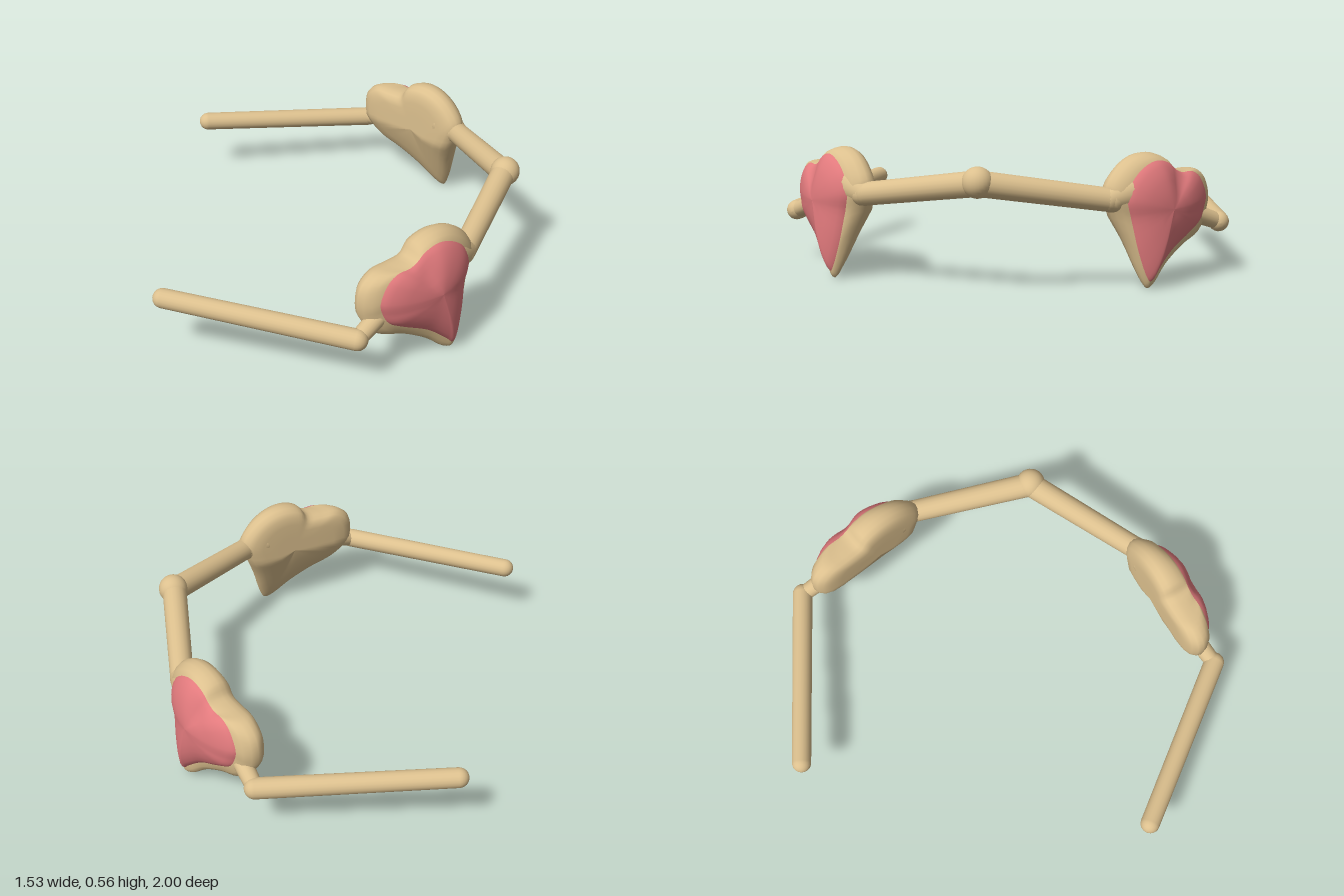
import * as THREE from 'three';

const frameMat = new THREE.MeshStandardMaterial({ color: 0xdcc08e });
frameMat.name = 'sandFrame';
const lensMat = new THREE.MeshStandardMaterial({ color: 0xe27a7d });
lensMat.name = 'pinkLens';

// Paired heart outlines in the lens plane: rim (u, y) and lens edge (u, y)
const HEART = [
  [-.525, .34, -.46, .36], [-.51, .42, -.42, .44], [-.449, .468, -.37, .468], [-.356, .475, -.31, .468],
  [-.28, .485, -.27, .485], [-.24, .535, -.235, .512], [-.158, .56, -.164, .53], [-.066, .548, -.09, .51],
  [.013, .5, -.02, .455], [.07, .42, .008, .38], [.045, .33, -.012, .3], [-.01, .2, -.04, .16],
  [-.06, .05, -.078, .05], [-.09, .002, -.095, .032], [-.13, .015, -.125, .06], [-.21, .08, -.22, .14],
  [-.325, .145, -.35, .21], [-.44, .19, -.42, .255], [-.505, .26, -.45, .31],
];
const N = 76;
const CENTRE = new THREE.Vector3(-.19, .33, 0);
const U = new THREE.Vector3(.758, 0, -.653);
const OUT = new THREE.Vector3(.653, 0, .758);

function outline(col) {
  const pts = HEART.map(p => new THREE.Vector3(p[col], p[col + 1], 0));
  const curve = new THREE.CatmullRomCurve3(pts, true, 'centripetal');
  return Array.from({ length: N }, (_, i) => curve.getPoint(i / N));
}
const rim = outline(0);
const edge = outline(2);

// Depths along the outward axis; the heart leans forward towards its tip
const lean = y => Math.max(0, (.3 - y) / .3);
const backDepth = y => .658 + .125 * lean(y);
const midDepth = y => .72 + .085 * lean(y);
const edgeDepth = y => .787 + .04 * lean(y);

// Skin a list of rings; each ring is a function (i) => Vector3(u, y, depth)
function skin(rings) {
  const pos = [], idx = [];
  rings.forEach((ring, r) => {
    for (let i = 0; i < N; i++) {
      const p = ring(i);
      pos.push(U.x * p.x + OUT.x * p.z, p.y, U.z * p.x + OUT.z * p.z);
      if (r === rings.length - 1) continue;
      const a = r * N + i, b = r * N + (i + 1) % N;
      idx.push(a, a + N, b, b, a + N, b + N);
    }
  });
  const g = new THREE.BufferGeometry();
  g.setAttribute('position', new THREE.Float32BufferAttribute(pos, 3));
  g.setIndex(idx);
  g.computeVertexNormals();
  return g;
}

// Rounded back and rim of one heart
function heartFrame() {
  const back = [[0, 0], [.35, 0], [.65, 0], [.82, .07], [.92, .28], [.98, .62], [1, 1]].map(([k, t]) => i => {
    const p = CENTRE.clone().lerp(rim[i], k);
    p.z = THREE.MathUtils.lerp(backDepth(p.y), midDepth(p.y), t);
    return p;
  });
  const front = [[.15, .4], [.5, .8], [1, 1]].map(([k, t]) => i => {
    const p = rim[i].clone().lerp(edge[i], k);
    p.z = THREE.MathUtils.lerp(midDepth(p.y), edgeDepth(p.y), t);
    return p;
  });
  return skin([...back, ...front]);
}

// Domed heart lens with a shallow dip between the lobes
function heartLens() {
  return skin([1, .96, .88, .75, .6, .4, .2, 0].map(k => i => {
    const p = CENTRE.clone().lerp(edge[i], k);
    const dip = .3 * Math.exp(-(((p.x + .25) / .05) ** 2)) * THREE.MathUtils.smoothstep(p.y, .33, .46);
    p.z = edgeDepth(p.y) + .074 * Math.pow(1 - k * k, .7) * (1 - dip);
    return p;
  }));
}

// Tapered bar with rounded ends
function bar(a, b, ra, rb) {
  const from = new THREE.Vector3(...a), dir = new THREE.Vector3(...b).sub(from);
  const len = dir.length(), profile = [];
  for (let i = 0; i <= 6; i++) {
    const t = i / 6 * Math.PI / 2;
    profile.push(new THREE.Vector2(ra * Math.sin(t), -ra * Math.cos(t)));
  }
  for (let i = 0; i <= 6; i++) {
    const t = i / 6 * Math.PI / 2;
    profile.push(new THREE.Vector2(rb * Math.cos(t), len + rb * Math.sin(t)));
  }
  const g = new THREE.LatheGeometry(profile, 20);
  g.applyQuaternion(new THREE.Quaternion().setFromUnitVectors(new THREE.Vector3(0, 1, 0), dir.normalize()));
  return g.translate(from.x, from.y, from.z);
}

// Copy across z = 0 with the winding reversed
function mirror(geo) {
  const g = geo.clone(), pos = g.attributes.position, nor = g.attributes.normal, idx = g.index;
  for (let i = 0; i < pos.count; i++) {
    pos.setZ(i, -pos.getZ(i));
    nor.setZ(i, -nor.getZ(i));
  }
  for (let i = 0; i < idx.count; i += 3) {
    const t = idx.getX(i + 1);
    idx.setX(i + 1, idx.getX(i + 2));
    idx.setX(i + 2, t);
  }
  return g;
}

export function createModel() {
  const model = new THREE.Group();
  model.name = 'heartGlasses';
  const add = (name, geo, mat) => {
    const mesh = new THREE.Mesh(geo, mat);
    mesh.name = name;
    model.add(mesh);
  };
  const pair = (name, geo, mat) => {
    add(name + 'A', geo, mat);
    add(name + 'B', mirror(geo), mat);
  };

  pair('heartFrame', heartFrame(), frameMat);
  pair('heartLens', heartLens(), lensMat);

  // Nose bridge with a knuckle in the middle and flared ends
  add('bridgeKnuckle', new THREE.SphereGeometry(.065, 24, 16).translate(.7, .465, 0), frameMat);
  pair('bridgeBar', bar([.695, .46, 0], [.5, .375, .53], .054, .05), frameMat);
  pair('bridgeFlare', bar([.505, .378, .515], [.45, .4, .58], .052, .078), frameMat);

  // Temple arms and their hinges
  pair('hinge', bar([.08, .23, .945], [.15, .27, .86], .036, .04), frameMat);
  pair('templeArm', bar([.075, .228, .954], [-.723, .28, .77], .045, .042), frameMat);

  return model;
}
